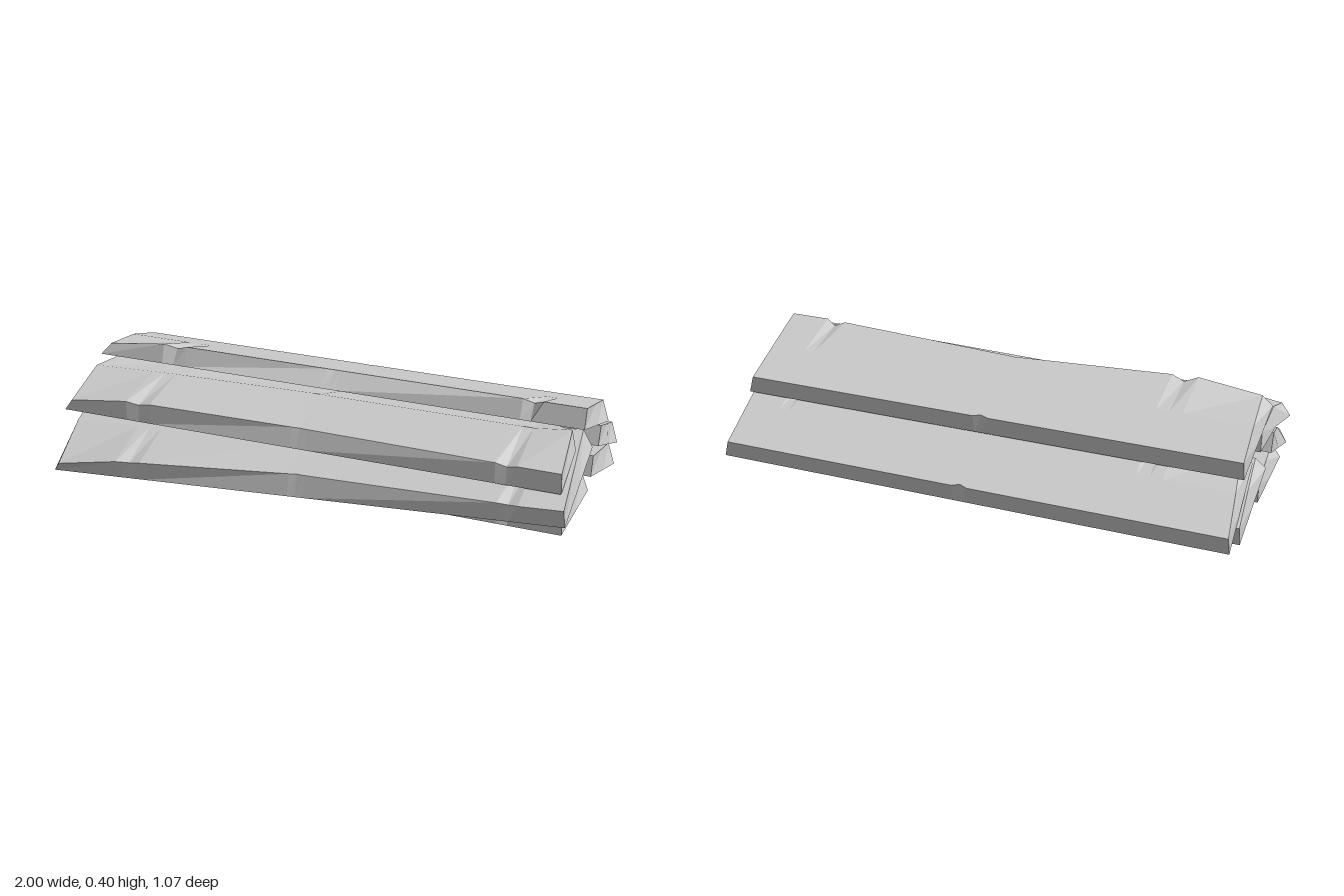
import * as THREE from 'three';

const THICK = 0.075;

// Stations along a plank: [t, inset of upper front edge, drop of that edge, back edge nick]
const STATIONS = [
  [0, 0.0, 0.03, 0], [0.14, 0, 0, 0], [0.165, 0.018, 0.012, 0], [0.19, 0.006, 0, 0],
  [0.485, 0.042, 0.004, 0], [0.5, 0.045, 0.004, 0.012], [0.515, 0.042, 0.004, 0],
  [0.88, 0.006, 0, 0], [0.9, 0.018, 0.012, 0], [0.92, 0, 0, 0], [1, 0, 0, 0],
];

// Weathered plank from its four lower corners [x, y, z]; crown(t) folds it along the middle
function plankGeometry({ fl, bl, fr, br, crown = () => 0, snap = 0, dent = 1 }) {
  const rings = STATIONS.map(([t, inset, drop, nick]) => {
    const f = new THREE.Vector3(...fl).lerp(new THREE.Vector3(...fr), t);
    const b = new THREE.Vector3(...bl).lerp(new THREE.Vector3(...br), t);
    if (t === 1) b.x -= snap;
    const across = f.clone().sub(b).setX(0).normalize();
    const up = new THREE.Vector3(0, across.z, -across.y).multiplyScalar(THICK);
    const m = f.clone().lerp(b, 0.52);
    m.y += crown(t);
    if (t === 1) m.x += snap * 0.5;
    const ft = f.clone().add(up).addScaledVector(across, -inset * dent);
    ft.y -= drop;
    const mt = m.clone().add(up);
    const bt = b.clone().add(up).addScaledVector(across, nick);
    // slanted ends
    if (t === 0) { ft.x += 0.035; mt.x += 0.015; }
    if (t === 1) { bt.x -= 0.03; mt.x -= 0.015; }
    return [f, ft, mt, bt, b, m];
  });

  const pos = [];
  const quad = (a, b, c, d) => [a, b, c, a, c, d].forEach((p) => pos.push(p.x, p.y, p.z));
  for (let i = 0; i < rings.length - 1; i++) {
    for (let j = 0; j < 6; j++) {
      const k = (j + 1) % 6;
      quad(rings[i][j], rings[i + 1][j], rings[i + 1][k], rings[i][k]);
    }
  }
  // end caps
  const [f, ft, mt, bt, b, m] = rings[0];
  quad(f, ft, mt, m);
  quad(m, mt, bt, b);
  const [F, FT, MT, BT, B, M] = rings[rings.length - 1];
  quad(F, M, MT, FT);
  quad(M, B, BT, MT);

  const g = new THREE.BufferGeometry();
  g.setAttribute('position', new THREE.Float32BufferAttribute(pos, 3));
  g.computeVertexNormals();
  return g;
}

export function createModel() {
  const group = new THREE.Group();
  group.name = 'plankPile';
  const wood = new THREE.MeshStandardMaterial({ color: 0xcccccc });
  wood.name = 'paleGrey';

  const planks = {
    bottomPlank: {
      fl: [-0.96, 0.025, 0.33], bl: [-0.98, 0.025, -0.07],
      fr: [0.97, 0.025, 0.33], br: [0.95, 0.025, -0.07],
    },
    lowerBackPlank: {
      fl: [-0.98, 0.12, 0.02], bl: [-1.0, 0.013, -0.375],
      fr: [0.98, 0.12, 0.02], br: [0.965, 0.013, -0.375],
    },
    rearPlank: {
      fl: [-0.96, 0.19, -0.1], bl: [-1.0, 0.045, -0.508],
      fr: [0.97, 0.19, -0.1], br: [0.94, 0.045, -0.508],
    },
    topPlank: {
      fl: [-0.97, 0.328, 0.105], bl: [-0.98, 0.215, -0.29],
      fr: [0.97, 0.328, 0.105], br: [0.955, 0.215, -0.29],
    },
    // folded board wedged under the top one
    upperFrontPlank: {
      fl: [-0.98, 0.185, 0.36], bl: [-0.97, 0.205, -0.035],
      fr: [0.97, 0.19, 0.36], br: [0.95, 0.205, -0.035],
      crown: (t) => 0.03 + 0.025 * Math.sin(Math.min(t, 0.5) * Math.PI) + (t === 1 ? 0.015 : 0),
      snap: 0.13, dent: 0.6,
    },
    // board leaning askew at the front
    leaningPlank: {
      fl: [-0.94, 0.002, 0.512], bl: [-0.97, 0.13, 0.13],
      fr: [1.0, 0.09, 0.4], br: [0.975, 0.225, 0.0],
    },
  };

  for (const [name, spec] of Object.entries(planks)) {
    const mesh = new THREE.Mesh(plankGeometry(spec), wood);
    mesh.name = name;
    group.add(mesh);
  }
  return group;
}
